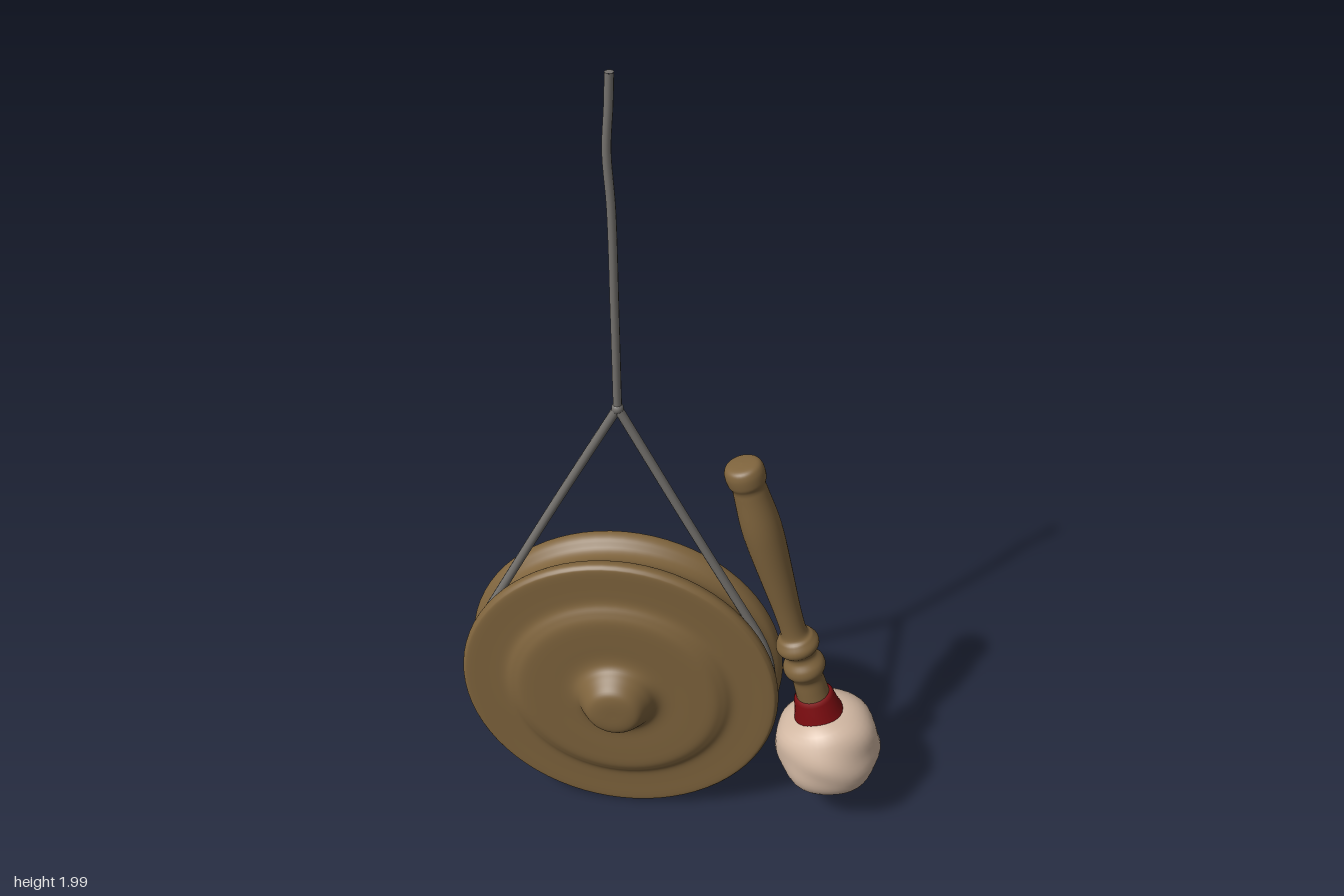
import * as THREE from 'three';
import { mergeVertices } from 'three/addons/utils/BufferGeometryUtils.js';

const material = (name, color) => new THREE.MeshStandardMaterial({ name, color });

// Smooth turned shape from [radius, height] pairs, listed bottom to top
function turned(pairs, samples, sides) {
  const curve = new THREE.SplineCurve(pairs.map(([r, y]) => new THREE.Vector2(r, y)));
  const points = curve.getPoints(samples);
  points.forEach((p) => { p.x = Math.max(p.x, 0); });
  return new THREE.LatheGeometry(points, sides);
}

// Squarish, slightly lumpy ball of padding
function paddedBall(radius, halfHeight) {
  let geo = new THREE.SphereGeometry(1, 40, 28);
  geo.deleteAttribute('uv');
  geo.deleteAttribute('normal');
  geo = mergeVertices(geo, 1e-4);
  const pos = geo.attributes.position;
  const v = new THREE.Vector3();
  for (let i = 0; i < pos.count; i++) {
    v.fromBufferAttribute(pos, i);
    const flat = Math.hypot(v.x, v.z);
    const square = Math.pow(Math.pow(flat, 2.6) + Math.pow(Math.abs(v.y), 2.6), -1 / 2.6);
    const lump = 1 + 0.014 * Math.sin(6 * v.x + 2 * v.y) + 0.014 * Math.sin(7 * v.z - 4 * v.y + 1)
      + 0.01 * Math.sin(8 * v.y + 5 * v.x);
    v.multiplyScalar(square * lump);
    pos.setXYZ(i, v.x * radius, v.y * halfHeight, v.z * radius);
  }
  geo.computeVertexNormals();
  return geo;
}

export function createModel() {
  const group = new THREE.Group();
  const bronze = material('bronze', 0x7f643d);
  const grey = material('rope grey', 0x74716d);
  const red = material('dark red', 0x7c0c10);
  const cream = material('cream padding', 0xd2b8a3);

  const add = (parent, name, geo, mat) => {
    const mesh = new THREE.Mesh(geo, mat);
    mesh.name = name;
    parent.add(mesh);
    return mesh;
  };

  // Gong: mirrored profile with central boss, raised ring and grooved rim
  const cx = -0.135, cy = 0.4;
  const half = [
    [0, 0.165], [0.04, 0.164], [0.065, 0.155], [0.085, 0.128], [0.1, 0.107], [0.125, 0.098],
    [0.18, 0.098], [0.235, 0.097], [0.262, 0.088], [0.285, 0.077], [0.32, 0.075],
    [0.375, 0.075], [0.388, 0.07], [0.393, 0.058], [0.387, 0.04], [0.37, 0.022],
  ];
  const profile = [...half.map(([r, z]) => [r, -z]), [0.364, 0], ...half.slice().reverse()];
  const gong = add(group, 'gong', turned(profile, 160, 72), bronze);
  gong.rotation.x = Math.PI / 2;
  gong.position.set(cx, cy, 0);

  // Rope sling: straight strands tangent to the groove, wrapping under the gong
  const apex = new THREE.Vector3(cx, 1.195, -0.005);
  const wrap = 0.37;
  const tangent = Math.acos(wrap / (apex.y - cy));
  const arc = [];
  for (let i = 0; i <= 32; i++) {
    const a = tangent + (i / 32) * 2 * (Math.PI - tangent);
    arc.push(new THREE.Vector3(cx - Math.sin(a) * wrap, cy + Math.cos(a) * wrap, 0));
  }
  const strand = (end, bend) => {
    const mid = apex.clone().lerp(end, 0.5);
    mid.z += bend;
    return new THREE.CatmullRomCurve3([apex, mid, end]);
  };
  const rope = (name, curve, segments, radius) =>
    add(group, name, new THREE.TubeGeometry(curve, segments, radius, 10), grey);
  rope('slingRight', strand(arc[0], -0.013), 20, 0.011);
  rope('slingLeft', strand(arc[32], 0.004), 20, 0.011);
  rope('slingUnder', new THREE.CatmullRomCurve3(arc), 80, 0.011);

  // Hanging rope with a slight kink near the top
  const hang = [[-0.135, 2, 0], [-0.138, 1.93, 0], [-0.144, 1.83, 0.001], [-0.137, 1.7, 0.003],
    [-0.135, 1.45, 0.002], [cx, 1.195, -0.005]].map((p) => new THREE.Vector3(...p));
  rope('hangingRope', new THREE.CatmullRomCurve3(hang), 48, 0.01);
  const knot = add(group, 'knot', new THREE.SphereGeometry(0.014, 16, 12), grey);
  knot.position.copy(apex);
  const tip = add(group, 'ropeEnd', new THREE.CircleGeometry(0.01, 10), grey);
  tip.rotation.x = -Math.PI / 2;
  tip.position.copy(hang[0]);

  // Mallet: built hanging down from its top, then tilted
  const mallet = new THREE.Group();
  mallet.name = 'mallet';
  mallet.position.set(0.146, 1.076, 0);
  mallet.rotation.z = 0.272;
  group.add(mallet);

  // Turned handle with two rings and an end knob
  const handle = [
    [0.042, -0.74], [0.04, -0.69], [0.039, -0.66], [0.044, -0.645], [0.052, -0.628], [0.05, -0.61],
    [0.038, -0.59], [0.039, -0.575], [0.051, -0.56], [0.053, -0.545], [0.044, -0.528],
    [0.032, -0.51], [0.033, -0.44], [0.039, -0.35], [0.046, -0.24], [0.047, -0.17],
    [0.041, -0.09], [0.04, -0.065], [0.046, -0.047], [0.046, -0.02], [0.035, -0.004], [0, 0],
  ];
  add(mallet, 'handle', turned(handle, 140, 32), bronze);

  // Red binding between handle and head
  const binding = [[0, -0.715], [0.044, -0.715], [0.05, -0.725], [0.056, -0.76], [0.068, -0.8]].reverse();
  add(mallet, 'binding', new THREE.LatheGeometry(binding.map(([r, y]) => new THREE.Vector2(r, y)), 32), red);

  // Padded head
  const head = add(mallet, 'head', paddedBall(0.129, 0.117), cream);
  head.position.y = -0.887;

  return group;
}
